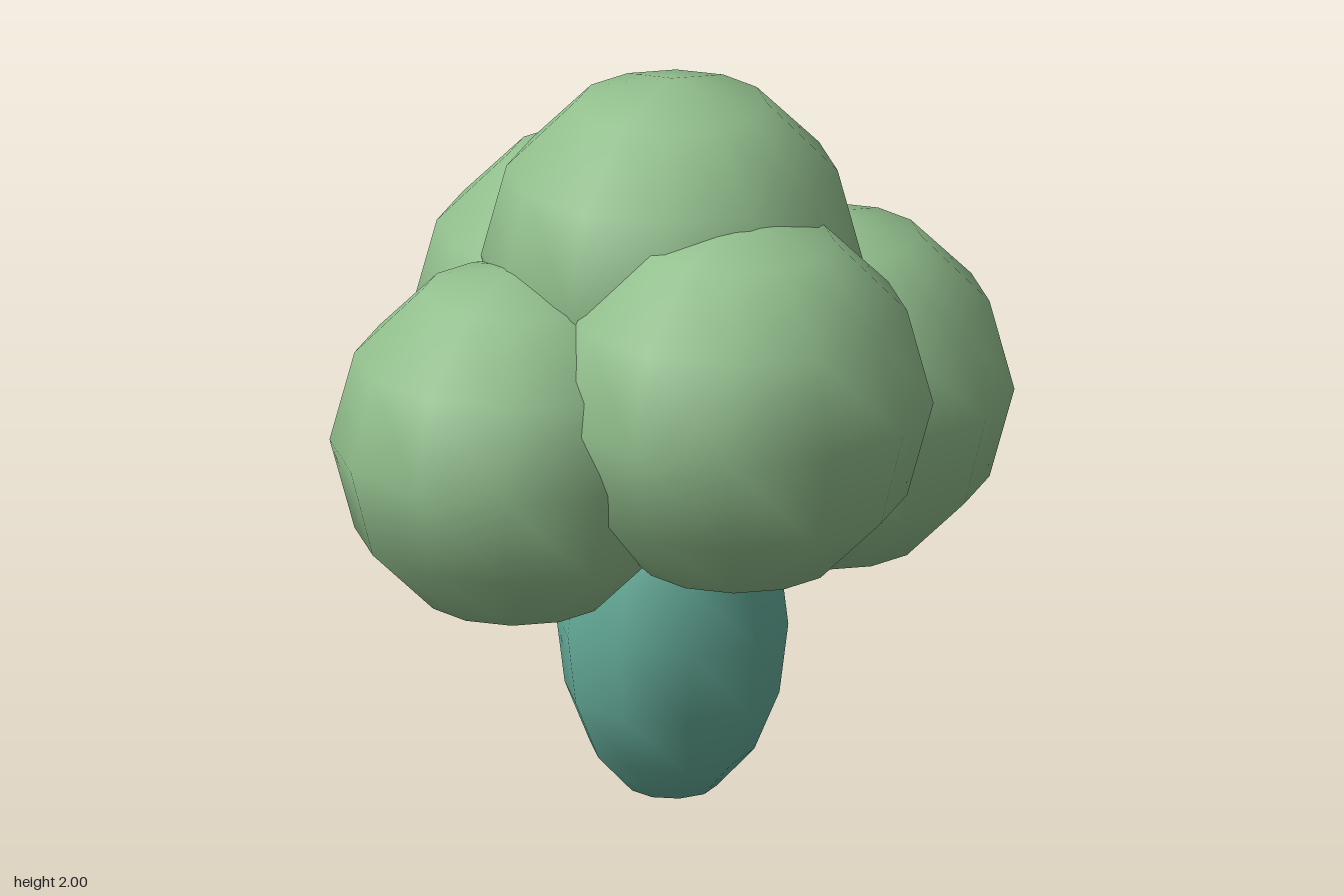
import * as THREE from 'three';

export function createModel() {
  const leafGreen = new THREE.MeshStandardMaterial({ color: 0x92bf8d });
  leafGreen.name = 'leafGreen';
  const trunkTeal = new THREE.MeshStandardMaterial({ color: 0x65ad9a });
  trunkTeal.name = 'trunkTeal';

  const tree = new THREE.Group();
  tree.name = 'tree';

  // Egg-shaped trunk
  const trunk = new THREE.Mesh(new THREE.SphereGeometry(1, 10, 8), trunkTeal);
  trunk.name = 'trunk';
  trunk.scale.set(0.307, 0.498, 0.307);
  trunk.position.y = 0.5;
  tree.add(trunk);

  // Foliage balls: name, radius, centre
  const foliage = new THREE.Group();
  foliage.name = 'foliage';
  const addBall = (name, radius, x, y, z) => {
    const ball = new THREE.Mesh(new THREE.SphereGeometry(radius, 12, 6), leafGreen);
    ball.name = name;
    ball.position.set(x, y, z);
    foliage.add(ball);
  };
  addBall('topFoliage', 0.5, 0, 1.5, 0);
  for (const side of [1, -1]) {
    addBall(side > 0 ? 'leftFoliage' : 'rightFoliage', 0.487, side * 0.46, 1.066, 0);
    addBall(side > 0 ? 'frontFoliage' : 'backFoliage', 0.512, 0, 1.224, side * 0.37);
  }
  tree.add(foliage);

  return tree;
}
